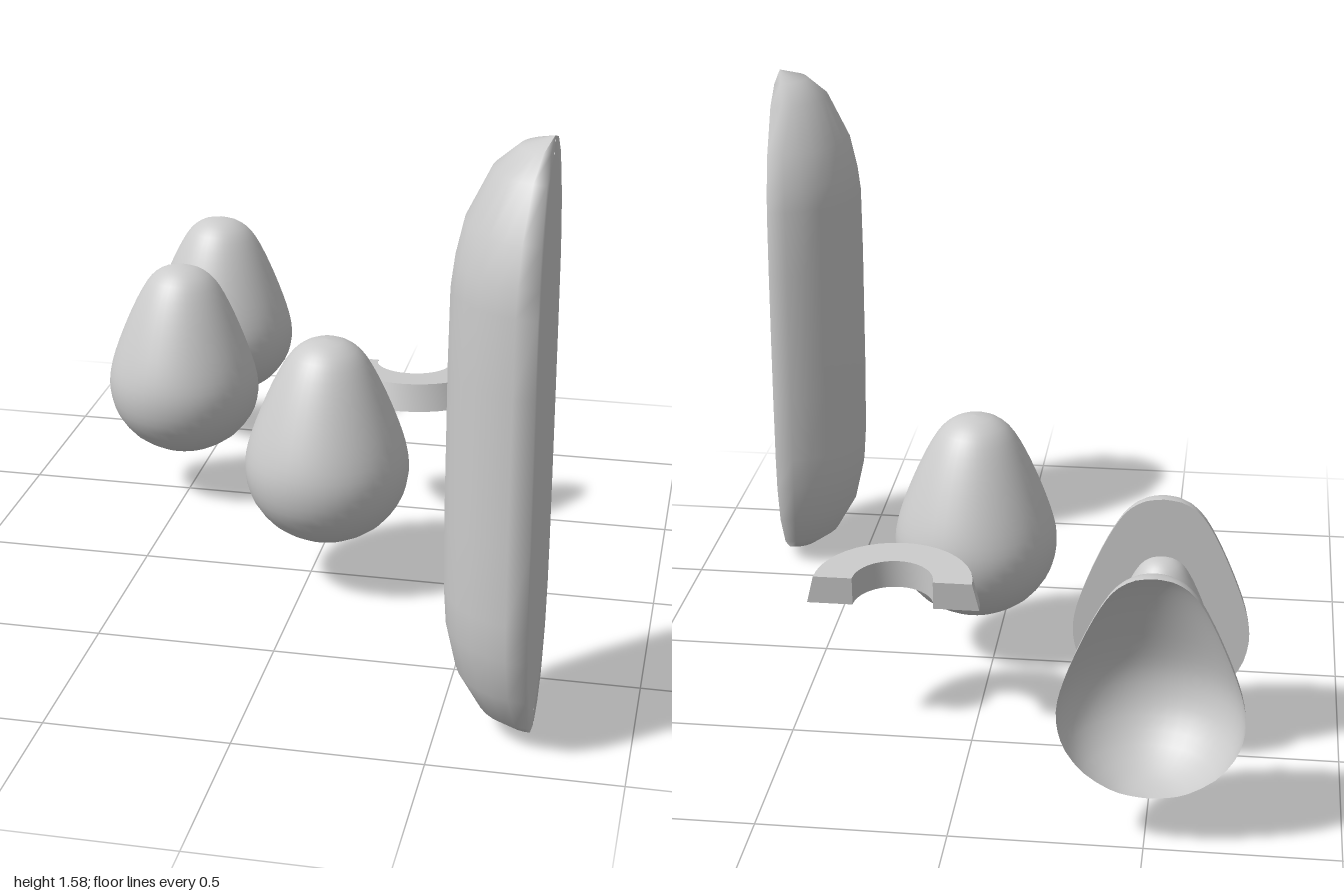
import * as THREE from 'three';
import { toCreasedNormals } from 'three/addons/utils/BufferGeometryUtils.js';

const material = new THREE.MeshStandardMaterial({ color: 0xcccccc });
const openMaterial = new THREE.MeshStandardMaterial({ color: 0xcccccc, side: THREE.DoubleSide });

// Pear-like outline of the fruit, from bottom to top: [radius, height]
const outline = [
  [0, 0.145], [0.05, 0.15], [0.1, 0.165], [0.165, 0.207], [0.21, 0.265], [0.23, 0.32], [0.235, 0.375],
  [0.226, 0.43], [0.205, 0.495], [0.175, 0.57], [0.145, 0.635], [0.115, 0.688], [0.085, 0.722], [0.045, 0.744], [0, 0.75],
].map(([r, y]) => new THREE.Vector2(r, y));
const profile = new THREE.SplineCurve(outline).getPoints(28);
profile[0].x = profile[profile.length - 1].x = 0;

function add(parent, name, geometry, mat = material) {
  const mesh = new THREE.Mesh(geometry, mat);
  mesh.name = name;
  parent.add(mesh);
  return mesh;
}

function group(parent, name, x, z) {
  const g = new THREE.Group();
  g.name = name;
  g.position.set(x, 0, z);
  parent.add(g);
  return g;
}

// Half of a turned solid, bulging towards +z
const halfLathe = (points, segments = 20) => new THREE.LatheGeometry(points, segments, -Math.PI / 2, Math.PI);

// Halved loaf: half-round rows stacked in y, closed by a flat cut on +x with a soft rim
function loafGeometry() {
  const rows = [
    [0.001, 0.005], [0.08, 0.025], [0.15, 0.075], [0.212, 0.18], [0.24, 0.3], [0.247, 0.4], [0.25, 0.6], [0.25, 0.8],
    [0.25, 1.0], [0.247, 1.2], [0.238, 1.27], [0.215, 1.37], [0.15, 1.5], [0.085, 1.555], [0.001, 1.58],
  ];
  const arc = 14;
  const n = arc + 3;
  const positions = [];
  const index = [];
  rows.forEach(([r, y], j) => {
    const shift = -0.008 * Math.sin(Math.PI * y / 1.58);
    for (let i = 0; i <= arc; i++) {
      const a = Math.PI * (1 - i / arc);
      positions.push(-r * 0.97 * Math.sin(a), y, shift + r * Math.cos(a));
    }
    const innerY = 0.79 + (y - 0.79) * 0.93;
    positions.push(0, innerY, shift + r * 0.84, 0, innerY, shift - r * 0.84);
    if (j === rows.length - 1) return;
    for (let i = 0; i < n; i++) {
      const a = j * n + i, b = j * n + (i + 1) % n;
      index.push(a, b, b + n, a, b + n, a + n);
    }
  });
  const geometry = new THREE.BufferGeometry();
  geometry.setAttribute('position', new THREE.Float32BufferAttribute(positions, 3));
  geometry.setIndex(index);
  geometry.computeVertexNormals();
  return geometry;
}

export function createModel() {
  const model = new THREE.Group();
  model.name = 'foodSet';

  // Whole fruit
  const whole = group(model, 'wholeFruit', 0.055, 0.04);
  add(whole, 'wholeFruitBody', new THREE.LatheGeometry(profile, 40));

  // Halved fruit with its stone, cut side towards the back
  const half = group(model, 'halfFruit', -0.51, -0.51);
  add(half, 'halfFruitBody', halfLathe(profile));
  const cut = new THREE.Shape([...profile, ...profile.slice(1, -1).reverse().map((p) => new THREE.Vector2(-p.x, p.y))]);
  add(half, 'cutFace', new THREE.ShapeGeometry(cut), openMaterial);
  const stone = add(half, 'stone', new THREE.LatheGeometry(profile, 28));
  stone.scale.setScalar(0.56);
  stone.position.y = 0.168;

  // Empty half skin, open towards the back
  const skin = group(model, 'emptySkin', -0.51, -1);
  add(skin, 'skinShell', halfLathe(profile), openMaterial);

  // Half-ring slice, slightly tilted
  const slice = group(model, 'slice', 0.212, -0.51);
  slice.position.y = 0.4;
  slice.rotation.x = -0.065;
  const section = [[0.11, 0], [0.235, 0], [0.216, 0.08], [0.11, 0.08]].map(([r, y]) => new THREE.Vector2(r, y));
  add(slice, 'sliceRing', toCreasedNormals(halfLathe([...section, section[0].clone()]), 0.6));
  for (const side of [1, -1]) {
    const end = new THREE.Shape(section.map((p) => new THREE.Vector2(p.x * side, p.y)));
    add(slice, side > 0 ? 'sliceEndLeft' : 'sliceEndRight', new THREE.ShapeGeometry(end), openMaterial);
  }

  // Halved loaf standing upright
  const loaf = group(model, 'halfLoaf', 0.743, 0.745);
  loaf.position.y = -0.005;
  add(loaf, 'loafBody', loafGeometry());

  return model;
}
